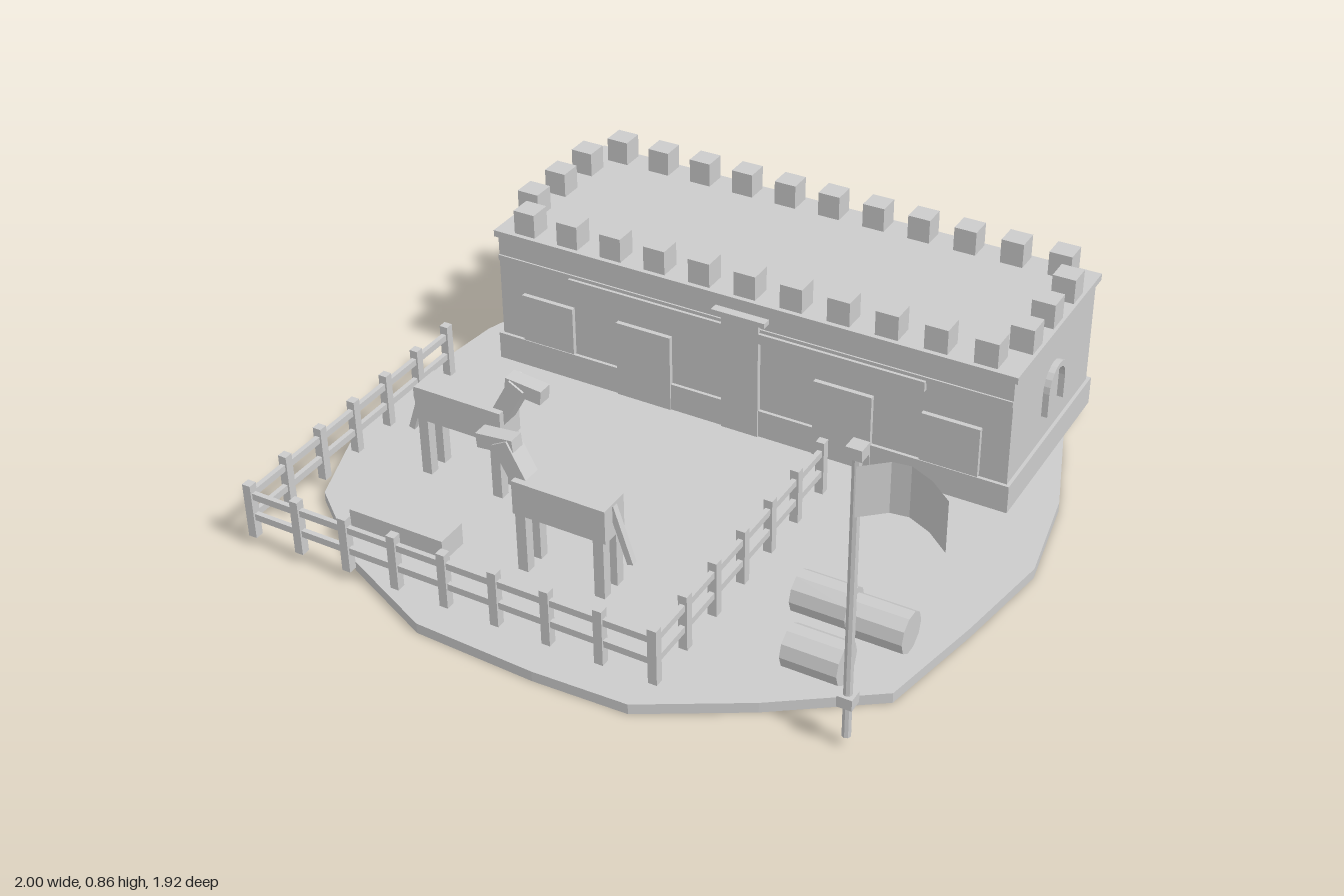
import * as THREE from 'three';

const stone = new THREE.MeshStandardMaterial({ color: 0xcccccc });
stone.name = 'plainGrey';
const sheet = stone.clone();
sheet.name = 'plainGreySheet';
sheet.side = THREE.DoubleSide;

function add(parent, name, geo, material = stone) {
  const mesh = new THREE.Mesh(geo, material);
  mesh.name = name;
  parent.add(mesh);
  return mesh;
}

// Box given by its extents on each axis
function box(parent, name, [x0, x1], [y0, y1], [z0, z1]) {
  const mesh = add(parent, name, new THREE.BoxGeometry(x1 - x0, y1 - y0, z1 - z0));
  mesh.position.set((x0 + x1) / 2, (y0 + y1) / 2, (z0 + z1) / 2);
  return mesh;
}

// Box given by centre and size, tilted in the xy plane
function tilted(parent, name, centre, size, angle) {
  const mesh = add(parent, name, new THREE.BoxGeometry(...size));
  mesh.position.set(...centre);
  mesh.rotation.z = angle;
  return mesh;
}

function group(parent, name) {
  const g = new THREE.Group();
  g.name = name;
  parent.add(g);
  return g;
}

// Faceted cylinder
function facetCylinder(radius, length, sides) {
  const geo = new THREE.CylinderGeometry(radius, radius, length, sides).toNonIndexed();
  geo.computeVertexNormals();
  return geo;
}

const GROUND = 0.03;

function buildGround(root) {
  const rim = [
    [-0.35, -0.94], [-0.04, -0.965], [0.26, -0.9], [0.555, -0.83], [0.76, -0.6],
    [0.865, -0.3], [0.915, 0], [0.865, 0.3], [0.8, 0.61], [0.535, 0.795],
    [0.265, 0.95], [0, 0.96], [-0.35, 0.945], [-0.635, 0.815], [-0.89, 0.61],
    [-1, 0.31], [-1, 0], [-0.97, -0.3], [-0.875, -0.61], [-0.635, -0.795],
  ].map(([x, z]) => new THREE.Vector2(x, -z));
  const geo = new THREE.ExtrudeGeometry(new THREE.Shape(rim), { depth: GROUND, bevelEnabled: false });
  geo.rotateX(-Math.PI / 2);
  add(root, 'ground', geo);
}

function buildFort(root) {
  const fort = group(root, 'fort');
  box(fort, 'walls', [-0.84, 0.75], [GROUND, 0.455], [-0.78, -0.197]);
  box(fort, 'plinth', [-0.85, 0.76], [GROUND, 0.115], [-0.794, -0.187]);
  box(fort, 'cornice', [-0.85, 0.76], [0.437, 0.457], [-0.794, -0.19]);

  // Battlements on all four sides
  const s = 0.0335;
  const merlon = (x, z) => box(fort, 'merlon', [x - s, x + s], [0.455, 0.53], [z - s, z + s]);
  for (let i = 0; i < 11; i++) for (const z of [-0.238, -0.75]) merlon(-0.754 + i * 0.1417, z);
  for (const z of [-0.637, -0.49, -0.345]) for (const x of [-0.81, 0.717]) merlon(x, z);

  // Front trim, doors and windows, mirrored about the wall's middle
  box(fort, 'stringCourse', [-0.84, 0.75], [0.36, 0.378], [-0.2, -0.192]);
  box(fort, 'signBoard', [-0.6, 0.505], [0.337, 0.368], [-0.2, -0.183]);
  box(fort, 'centralDoor', [-0.105, 0.01], [GROUND, 0.4], [-0.2, -0.182]);
  box(fort, 'centralLintel', [-0.13, 0.035], [0.4, 0.415], [-0.2, -0.17]);
  for (const side of [-1, 1]) {
    const span = (a, b) => [-0.045 + side * a, -0.045 + side * b].sort((p, q) => p - q);
    box(fort, 'door', span(0.225, 0.4), [GROUND, 0.27], [-0.2, -0.183]);
    box(fort, 'window', span(0.545, 0.715), [0.12, 0.27], [-0.2, -0.183]);
  }

  // Arched window frame on each end wall
  const arch = new THREE.Shape();
  arch.moveTo(0.066, 0.2);
  arch.lineTo(0.066, 0.27);
  arch.absarc(0, 0.274, 0.066, 0, Math.PI, false);
  arch.lineTo(-0.066, 0.2);
  arch.lineTo(-0.049, 0.2);
  arch.lineTo(-0.049, 0.27);
  arch.absarc(0, 0.274, 0.049, Math.PI, 0, true);
  arch.lineTo(0.049, 0.2);
  arch.closePath();
  for (const x of [-0.858, 0.738]) {
    const geo = new THREE.ExtrudeGeometry(arch, { depth: 0.03, bevelEnabled: false, curveSegments: 5 });
    const frame = add(fort, 'archFrame', geo);
    frame.rotation.y = Math.PI / 2;
    frame.position.set(x, 0, -0.487);
  }
}

function buildFence(root) {
  const fence = group(root, 'fence');
  const [left, right, back, front] = [-0.933, 0.28, -0.04, 0.847];
  const p = 0.0125, r = 0.007;
  const post = (x, z) => box(fence, 'fencePost', [x - p, x + p], [GROUND, 0.195], [z - p, z + p]);
  for (let i = 0; i < 9; i++) post(left + (right - left) * i / 8, front);
  for (let i = 0; i < 6; i++) for (const x of [left, right]) post(x, back + (front - back) * i / 6);
  for (const y of [0.085, 0.15]) {
    box(fence, 'frontRail', [left, right], [y, y + 0.02], [front - r, front + r]);
    for (const x of [left, right]) box(fence, 'sideRail', [x - r, x + r], [y, y + 0.02], [back, front]);
  }
}

// Horse facing +x, centred on its body
function buildHorse(root, x, z, turn) {
  const horse = group(root, 'horse');
  horse.position.set(x, 0, z);
  horse.rotation.y = turn;
  box(horse, 'body', [-0.137, 0.137], [0.205, 0.305], [-0.046, 0.046]);
  for (const lx of [-0.115, 0.115]) {
    for (const lz of [-0.031, 0.031]) {
      box(horse, 'leg', [lx - 0.015, lx + 0.015], [GROUND, 0.21], [lz - 0.015, lz + 0.015]);
    }
  }
  tilted(horse, 'neck', [0.145, 0.327, 0], [0.05, 0.15, 0.056], -0.5);
  tilted(horse, 'head', [0.198, 0.382, 0], [0.11, 0.042, 0.044], -0.1);
  tilted(horse, 'tail', [-0.158, 0.215, 0], [0.018, 0.17, 0.018], -0.32);
}

function buildTrough(root) {
  const trough = group(root, 'trough');
  box(trough, 'basin', [-0.695, -0.405], [0.065, 0.13], [0.655, 0.745]);
  for (const x of [-0.65, -0.45]) box(trough, 'troughLeg', [x - 0.015, x + 0.015], [GROUND, 0.07], [0.67, 0.73]);
}

function buildLogs(root) {
  for (const [x, z] of [[0.532, 0.432], [0.695, 0.45], [0.608, 0.63]]) {
    const log = add(root, 'log', facetCylinder(0.057, 0.153, 10));
    log.rotation.z = Math.PI / 2;
    log.position.set(x, 0.088, z);
  }
}

function buildFlag(root) {
  const flag = group(root, 'flagpole');
  const x = 0.766, z = 0.795;
  const pole = add(flag, 'pole', facetCylinder(0.012, 0.8, 8));
  pole.position.set(x, 0.43, z);
  for (const [name, y0, y1] of [['poleCap', 0.825, 0.855], ['poleCollar', 0.125, 0.157]]) {
    box(flag, name, [x - 0.02, x + 0.02], [y0, y1], [z - 0.02, z + 0.02]);
  }

  // Waving cloth: a plane bent along its length
  const wave = [[0.776, 0.82], [0.835, 0.768], [0.88, 0.762], [0.94, 0.79], [1, 0.84]];
  let cloth = new THREE.PlaneGeometry(1, 0.135, wave.length - 1, 1);
  const pos = cloth.attributes.position;
  for (let i = 0; i < pos.count; i++) {
    const [wx, wz] = wave[i % wave.length];
    pos.setXYZ(i, wx, pos.getY(i) + 0.748, wz);
  }
  cloth = cloth.toNonIndexed();
  cloth.computeVertexNormals();
  add(flag, 'flagCloth', cloth, sheet);
}

export function createModel() {
  const root = new THREE.Group();
  root.name = 'fortWithPaddock';
  buildGround(root);
  buildFort(root);
  buildFence(root);
  buildHorse(root, -0.583, 0.357, 0);
  buildHorse(root, -0.118, 0.592, Math.PI);
  buildTrough(root);
  buildLogs(root);
  buildFlag(root);
  return root;
}
